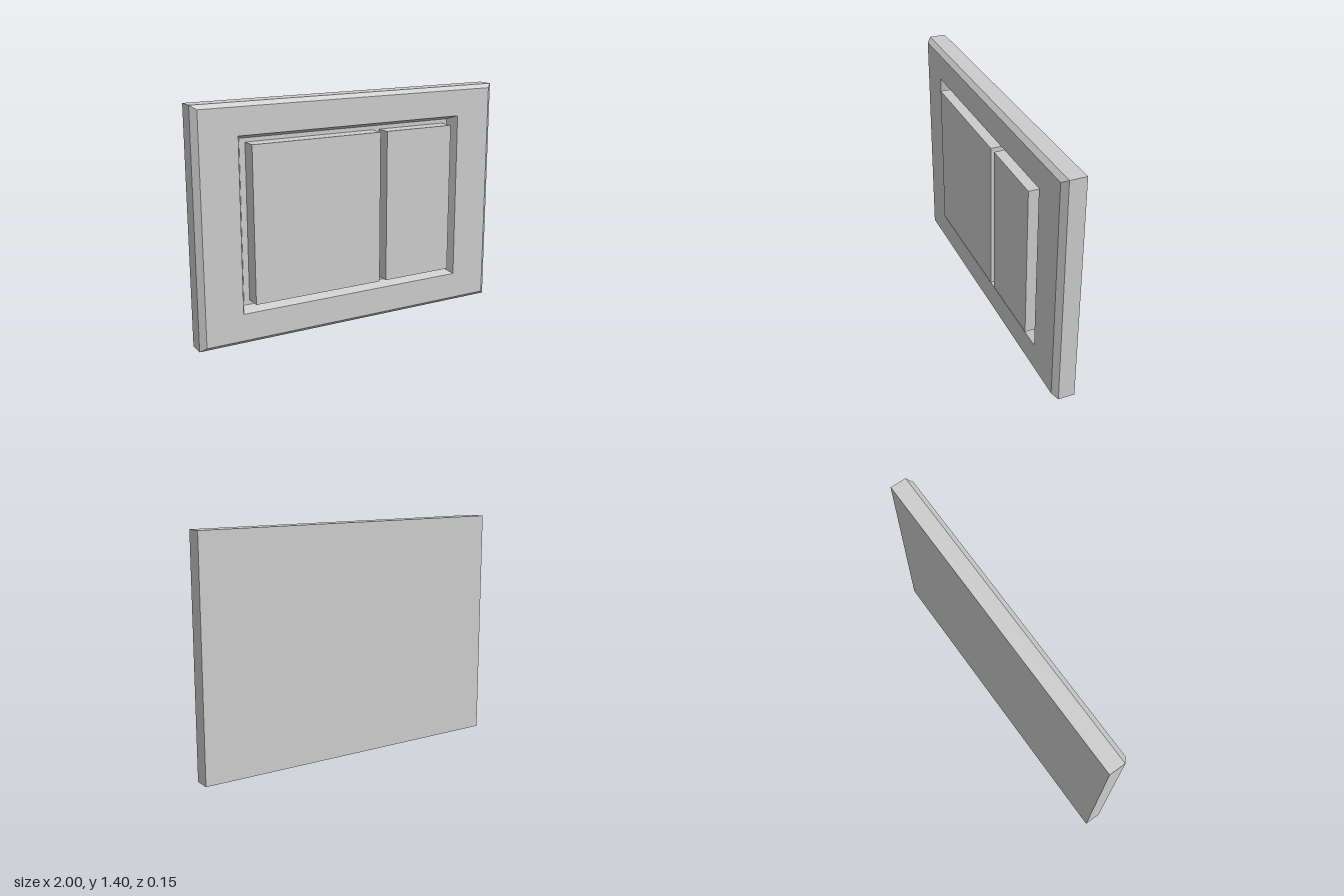
import * as THREE from 'three';

// Skin a stack of rectangles [x0, x1, y0, y1, z], closing the first and last one
function loftRectangles(rects) {
  const rings = rects.map(([x0, x1, y0, y1, z]) =>
    [[x0, y0, z], [x1, y0, z], [x1, y1, z], [x0, y1, z]]);
  const pos = [];
  const quad = (a, b, c, d) => pos.push(...a, ...b, ...c, ...a, ...c, ...d);
  for (let r = 0; r < rings.length - 1; r++) {
    for (let i = 0; i < 4; i++) {
      const j = (i + 1) % 4;
      quad(rings[r][i], rings[r][j], rings[r + 1][j], rings[r + 1][i]);
    }
  }
  const [a, b, c, d] = rings[0];
  quad(d, c, b, a);
  quad(...rings[rings.length - 1]);
  const geometry = new THREE.BufferGeometry();
  geometry.setAttribute('position', new THREE.Float32BufferAttribute(pos, 3));
  geometry.computeVertexNormals();
  return geometry;
}

export function createModel() {
  const group = new THREE.Group();
  group.name = 'wallPlate';
  const grey = new THREE.MeshStandardMaterial({ color: 0xcccccc });
  grey.name = 'light grey';

  const floorZ = -0.02;

  // Bevelled plate with a slope-sided recess in its front
  const plate = new THREE.Mesh(loftRectangles([
    [-1, 1, 0, 1.4, -0.077],
    [-1, 1, 0, 1.4, 0.022],
    [-0.966, 0.966, 0.025, 1.377, 0.051],
    [-0.737, 0.733, 0.187, 1.217, 0.051],
    [-0.703, 0.7, 0.213, 1.191, floorZ],
  ]), grey);
  plate.name = 'plate';
  group.add(plate);

  // Wide and narrow push buttons standing on the recess floor
  const y0 = 0.24, y1 = 1.167, frontZ = 0.077;
  for (const [name, x0, x1] of [['wideButton', -0.668, 0.157], ['narrowButton', 0.203, 0.663]]) {
    const button = new THREE.Mesh(new THREE.BoxGeometry(x1 - x0, y1 - y0, frontZ - floorZ), grey);
    button.position.set((x0 + x1) / 2, (y0 + y1) / 2, (frontZ + floorZ) / 2);
    button.name = name;
    group.add(button);
  }
  return group;
}
